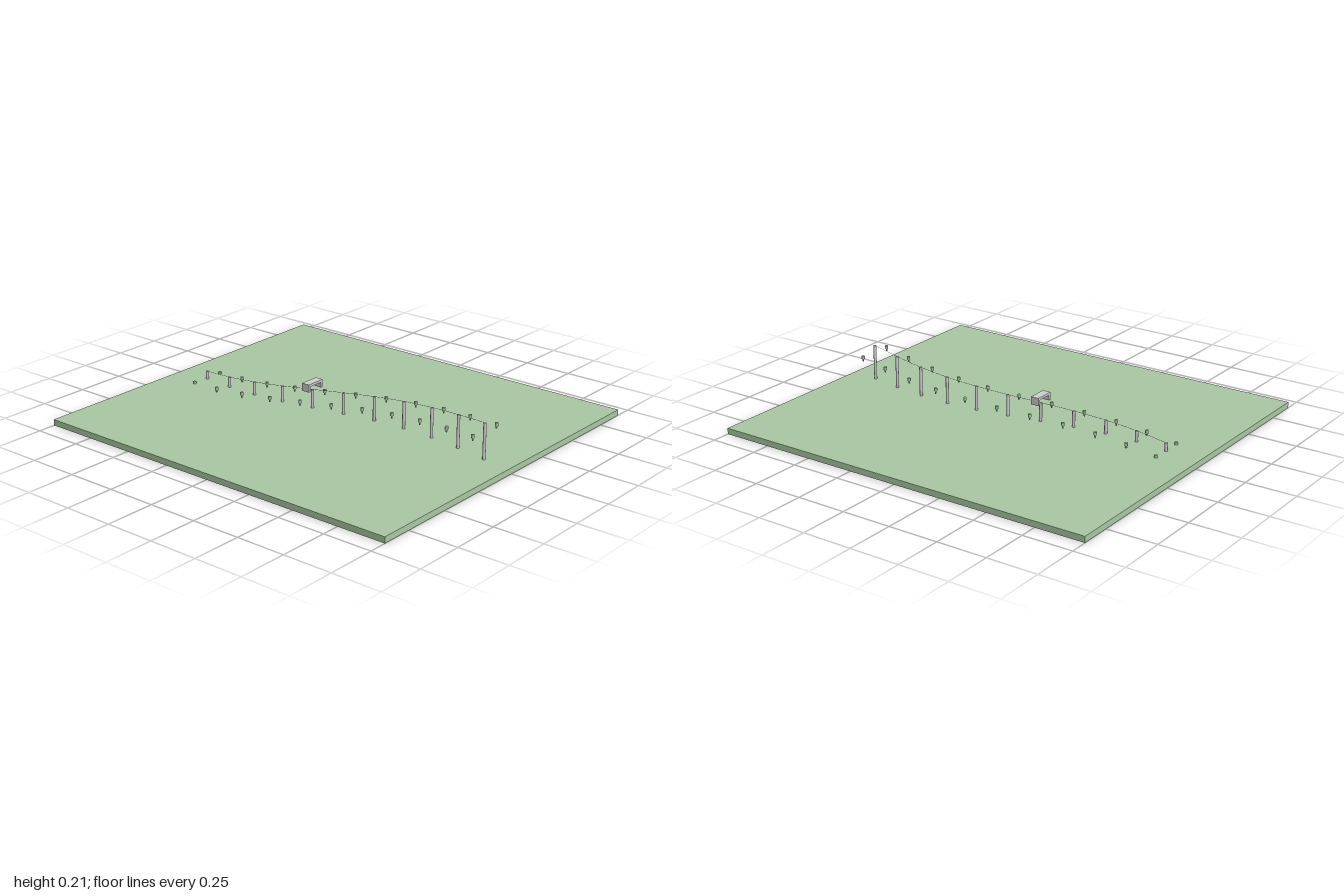
import * as THREE from 'three';

const GREEN = 0xa8c6a2;
const green = new THREE.MeshStandardMaterial({ color: GREEN });
const grey = new THREE.MeshStandardMaterial({ color: 0xcccccc });

function add(parent, name, geometry, material, x, y, z) {
  const mesh = new THREE.Mesh(geometry, material);
  mesh.name = name;
  mesh.position.set(x, y, z);
  parent.add(mesh);
  return mesh;
}

export function createModel() {
  const model = new THREE.Group();
  model.name = 'postTrail';
  const ground = 0.03;
  const count = 11;

  // Flat ground slab
  add(model, 'groundSlab', new THREE.BoxGeometry(1.82, ground, 2), green, 0, ground / 2, 0);

  // Hanging marker: broad cap above a narrow tapered stem
  const capGeometry = new THREE.CylinderGeometry(0.008, 0.008, 0.015, 12);
  const stemGeometry = new THREE.CylinderGeometry(0.005, 0.003, 0.014, 10);

  // Posts descend along a gentle wave
  const tops = [];
  for (let i = 0; i < count; i++) {
    const x = 0.061 * Math.sin(i * 0.55);
    const z = 0.85 - i * 0.167;
    const top = 0.207 - i * 0.0137;
    tops.push(new THREE.Vector3(x, top, z));

    const height = top - ground;
    add(model, 'post', new THREE.CylinderGeometry(0.0075, 0.0075, height, 12), grey,
      x, ground + height / 2, z);

    // A marker on each side of the post
    for (const side of [-1, 1]) {
      const marker = new THREE.Group();
      marker.name = side > 0 ? 'leftMarker' : 'rightMarker';
      marker.position.set(x + side * 0.092, top - 0.035, z);
      add(marker, 'markerCap', capGeometry, green, 0, 0, 0);
      add(marker, 'markerStem', stemGeometry, green, 0, -0.0145, 0);
      model.add(marker);
    }
  }

  // Thin cable joining the post tops
  const cable = new THREE.TubeGeometry(new THREE.CatmullRomCurve3(tops), 80, 0.001, 6);
  add(model, 'cable', cable, grey, 0, 0, 0);

  // Inverted U carriage straddling the seventh post
  const carriage = new THREE.Group();
  carriage.name = 'carriage';
  carriage.position.set(tops[6].x, 0, tops[6].z);
  add(carriage, 'carriageDeck', new THREE.BoxGeometry(0.102, 0.012, 0.042), grey, 0, 0.161, 0);
  for (const side of [-1, 1]) {
    add(carriage, 'carriageSide', new THREE.BoxGeometry(0.012, 0.027, 0.042), grey,
      side * 0.045, 0.1415, 0);
  }
  model.add(carriage);

  return model;
}
